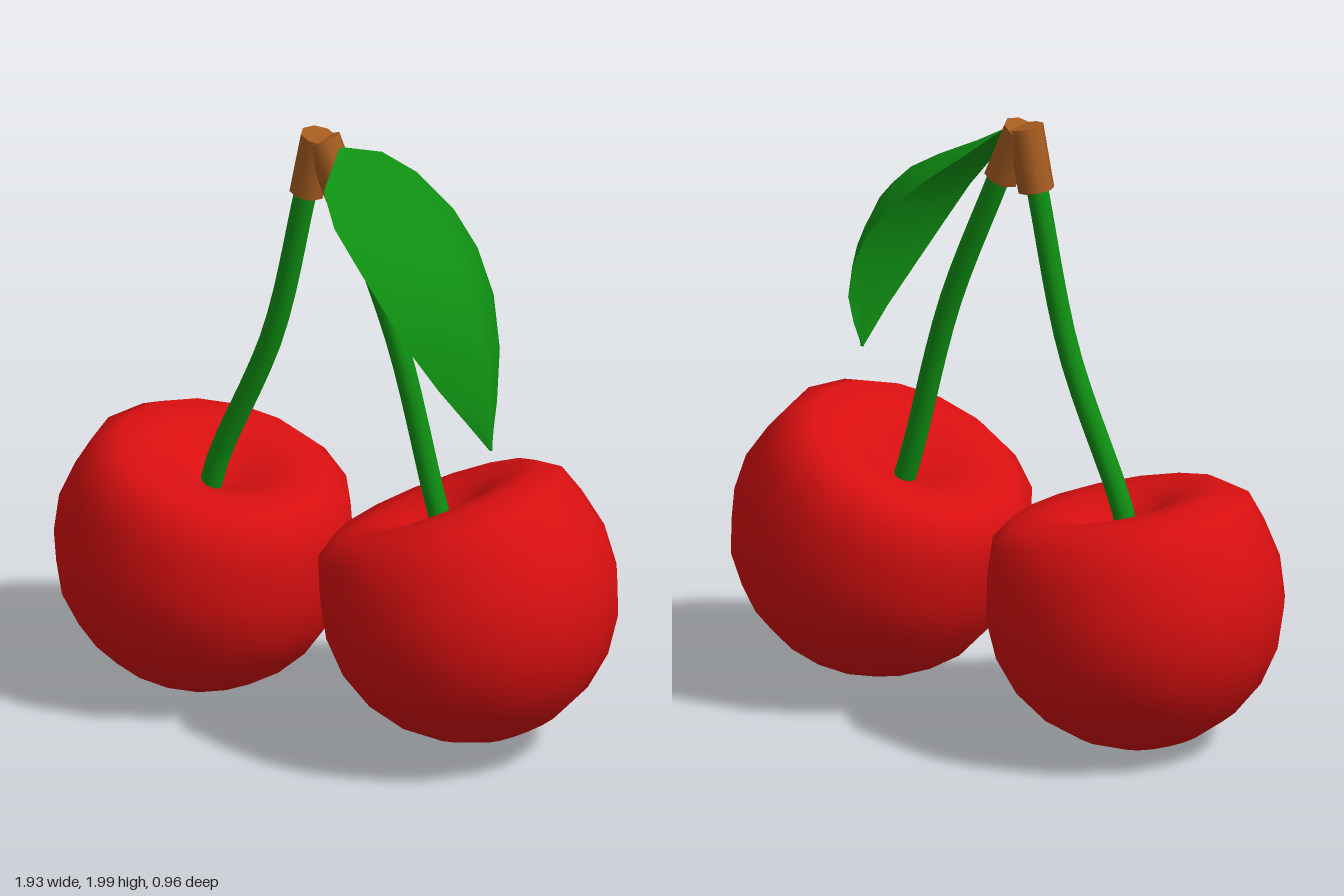
import * as THREE from 'three';

const skin = new THREE.MeshStandardMaterial({ color: 0xd80f10 });
skin.name = 'cherryRed';
const green = new THREE.MeshStandardMaterial({ color: 0x0f8f12, side: THREE.DoubleSide });
green.name = 'leafGreen';
const bark = new THREE.MeshStandardMaterial({ color: 0xa65c20 });
bark.name = 'barkBrown';

function add(parent, name, geometry, material) {
  const mesh = new THREE.Mesh(geometry, material);
  mesh.name = name;
  parent.add(mesh);
  return mesh;
}

// Round fruit with a flattened top and a dimple for the stem
function cherryGeometry() {
  const R = 0.48;
  const profile = [];
  for (let deg = -90; deg <= 20; deg += 15.714) {
    const a = THREE.MathUtils.degToRad(deg);
    profile.push(new THREE.Vector2(Math.max(0, R * Math.cos(a)), R * Math.sin(a)));
  }
  const top = [[0.418, 0.26], [0.345, 0.312], [0.24, 0.312], [0.15, 0.28], [0.07, 0.225], [0, 0.195]];
  top.forEach(([r, y]) => profile.push(new THREE.Vector2(r, y)));
  return new THREE.LatheGeometry(profile, 16);
}

// Woody end running from point a to point b
function addCap(parent, name, a, b) {
  const from = new THREE.Vector3(...a), to = new THREE.Vector3(...b);
  const dir = to.clone().sub(from);
  const mesh = add(parent, name, new THREE.CylinderGeometry(0.058, 0.058, dir.length(), 8), bark);
  mesh.position.copy(from).add(to).multiplyScalar(0.5);
  mesh.quaternion.setFromUnitVectors(new THREE.Vector3(0, 1, 0), dir.normalize());
}

// Leaf rows: midrib x, y, edge x, y, then edge z on the front and back sides
const leafRows = [
  [0.01, 1.96, 0.01, 1.96, 0, 0],
  [0.13, 1.89, 0.07, 1.895, 0.2, -0.16],
  [0.275, 1.815, 0.16, 1.82, 0.285, -0.225],
  [0.39, 1.745, 0.28, 1.71, 0.325, -0.25],
  [0.47, 1.67, 0.37, 1.6, 0.33, -0.245],
  [0.54, 1.55, 0.45, 1.47, 0.31, -0.21],
  [0.587, 1.39, 0.52, 1.33, 0.25, -0.13],
  [0.61, 1.24, 0.575, 1.2, 0.17, -0.02],
  [0.62, 1.08, 0.61, 1.08, 0.085, 0.085],
];

// One half of the leaf, arched from the midrib down to its edge
function leafHalf(front) {
  const cols = 3, pos = [], index = [];
  leafRows.forEach(([mx, my, ex, ey, zf, zb], i) => {
    const mz = 0.085 * i / (leafRows.length - 1);
    const ez = front ? zf : zb;
    for (let j = 0; j <= cols; j++) {
      const u = j / cols, drop = Math.pow(u, 1.5);
      pos.push(mx + (ex - mx) * drop, my + (ey - my) * drop, mz + (ez - mz) * u);
      if (i > 0 && j > 0) {
        const d = i * (cols + 1) + j, c = d - 1, b = d - cols - 1, a = b - 1;
        if (front) index.push(a, b, c, b, d, c);
        else index.push(a, c, b, b, c, d);
      }
    }
  });
  const g = new THREE.BufferGeometry();
  g.setAttribute('position', new THREE.Float32BufferAttribute(pos, 3));
  g.setIndex(index);
  g.computeVertexNormals();
  return g;
}

export function createModel() {
  const model = new THREE.Group();
  model.name = 'cherryPair';

  // Fruit, stem and woody end for each side
  const sides = [
    { side: 'right', at: [-0.487, 0.485, 0], tilt: -0.22,
      stem: [[-0.465, 0.68, 0], [-0.43, 0.8, 0], [-0.235, 1.26, 0], [-0.11, 1.8, 0]],
      cap: [[-0.11, 1.778, 0], [-0.068, 1.983, 0]] },
    { side: 'left', at: [0.485, 0.53, 0], tilt: 0.42,
      stem: [[0.405, 0.68, 0], [0.363, 0.81, 0], [0.222, 1.33, 0], [0.03, 1.8, 0]],
      cap: [[0.023, 1.795, 0], [-0.053, 1.973, 0]] },
  ];
  for (const { side, at, tilt, stem, cap } of sides) {
    const cherry = add(model, side + 'Cherry', cherryGeometry(), skin);
    cherry.position.set(...at);
    cherry.rotation.z = tilt;
    const path = new THREE.CatmullRomCurve3(stem.map((p) => new THREE.Vector3(...p)));
    add(model, side + 'Stem', new THREE.TubeGeometry(path, 12, 0.036, 10), green);
    addCap(model, side + 'StemEnd', ...cap);
  }

  // Leaf folded along its midrib
  const leaf = new THREE.Group();
  leaf.name = 'leaf';
  add(leaf, 'leafFrontHalf', leafHalf(true), green);
  add(leaf, 'leafBackHalf', leafHalf(false), green);
  model.add(leaf);

  return model;
}
